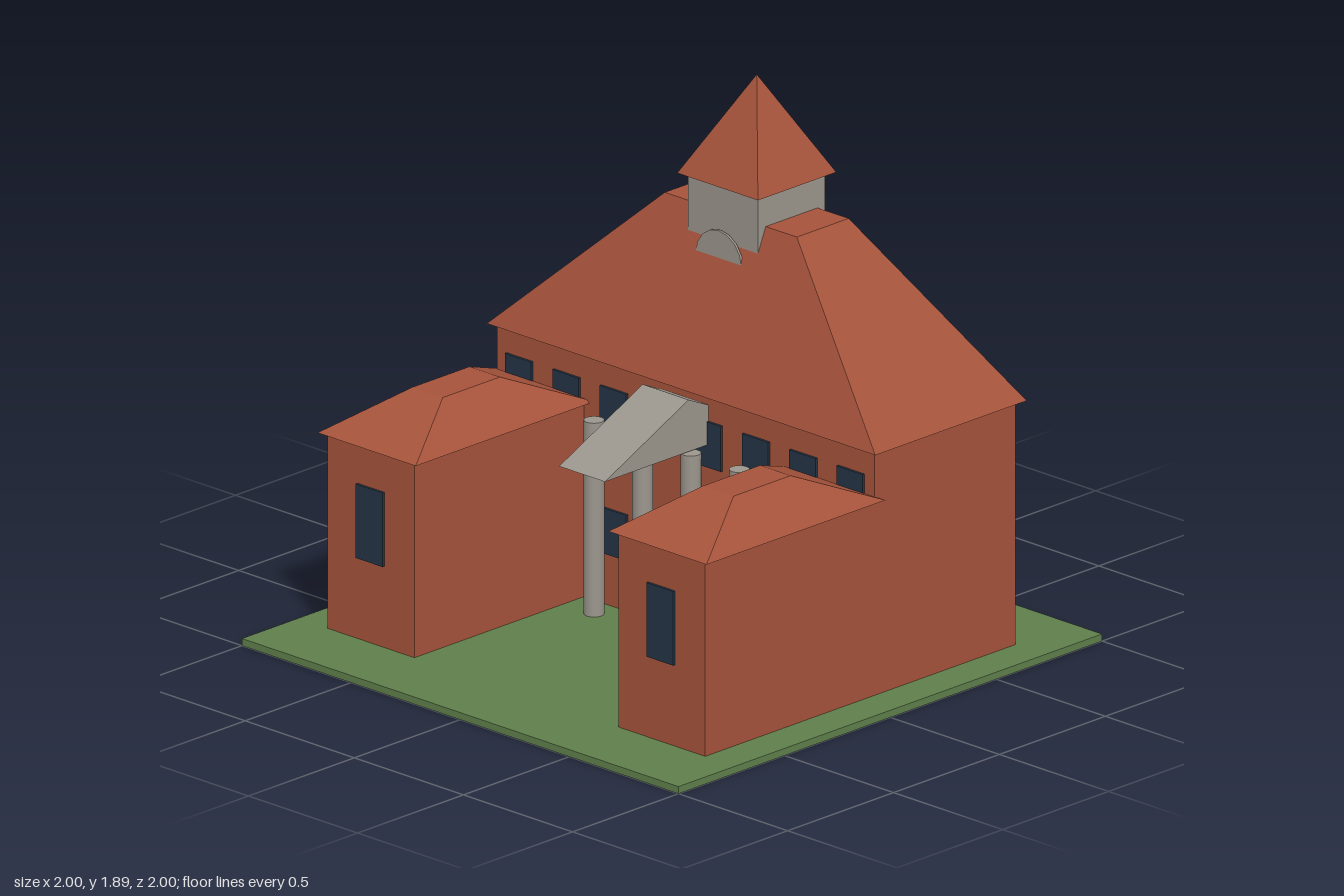
import * as THREE from 'three';

export function createModel() {
  const model = new THREE.Group();
  model.name = 'brickHall';

  const mat = (name, color) => {
    const m = new THREE.MeshStandardMaterial({ color });
    m.name = name;
    return m;
  };
  const brick = mat('brick red', 0xa5533b);
  const stone = mat('stone grey', 0x9b968d);
  const glass = mat('window navy', 0x243445);
  const grass = mat('lawn green', 0x5f7f4b);

  const add = (name, geometry, material, x, y, z) => {
    const mesh = new THREE.Mesh(geometry, material);
    mesh.name = name;
    mesh.position.set(x, y, z);
    model.add(mesh);
    return mesh;
  };

  // box given by its limits on each axis
  const block = (name, material, [x0, x1], [y0, y1], [z0, z1]) =>
    add(name, new THREE.BoxGeometry(x1 - x0, y1 - y0, z1 - z0), material,
      (x0 + x1) / 2, (y0 + y1) / 2, (z0 + z1) / 2);

  // box whose top face is shrunk to topW x topD: hip roof, spire or gable
  const taper = (name, material, w, d, topW, topD, y0, y1, x, z) => {
    const g = new THREE.BoxGeometry(w, y1 - y0, d);
    const p = g.attributes.position;
    for (let i = 0; i < p.count; i++) {
      if (p.getY(i) > 0) {
        p.setX(i, Math.sign(p.getX(i)) * topW / 2);
        p.setZ(i, Math.sign(p.getZ(i)) * topD / 2);
      }
    }
    const flat = g.toNonIndexed();
    flat.computeVertexNormals();
    return add(name, flat, material, x, (y0 + y1) / 2, z);
  };

  const ground = 0.025;
  const front = -0.065, back = -0.73; // main wall planes

  block('lawn', grass, [-1, 1], [0, ground], [-1, 1]);

  // main building
  block('mainWalls', brick, [-0.865, 0.865], [ground, 0.88], [back, front]);
  taper('mainRoof', brick, 1.78, 0.715, 0.605, 0.245, 0.88, 1.43, 0, -0.4);

  // bell tower
  block('tower', stone, [-0.16, 0.16], [1.2, 1.545], [-0.557, -0.241]);
  taper('spire', brick, 0.37, 0.37, 0, 0, 1.545, 1.89, 0, -0.4);

  // round plaque in front of the tower, half sunk in the roof
  const plaque = new THREE.CylinderGeometry(0.105, 0.105, 0.009, 16, 1);
  plaque.rotateX(Math.PI / 2);
  add('roundPlaque', plaque, stone, 0, 1.285, -0.224);

  // side wings with their front windows
  for (const s of [-1, 1]) {
    const side = s > 0 ? 'left' : 'right';
    add(side + 'WingWalls', new THREE.BoxGeometry(0.398, 0.685, 0.8), brick,
      s * 0.666, ground + 0.3425, 0.335);
    taper(side + 'WingRoof', brick, 0.45, 0.845, 0.14, 0.27, 0.71, 0.833, s * 0.666, 0.333);
    add(side + 'WingWindow', new THREE.BoxGeometry(0.122, 0.26, 0.009), glass,
      s * 0.666, 0.44, 0.7395);
  }

  // two rows of windows, front and back; one lower bay is left blank
  const pane = new THREE.BoxGeometry(0.12, 0.16, 0.009);
  for (const [wall, z] of [['front', front + 0.0045], ['back', back - 0.0045]]) {
    for (let i = 0; i < 8; i++) {
      const x = (i - 3.5) * 0.217;
      add(wall + 'UpperWindow', pane, glass, x, 0.71, z);
      if (i !== 4) add(wall + 'LowerWindow', pane, glass, x, 0.285, z);
    }
  }

  // entrance: door, columns and gabled canopy
  block('door', stone, [-0.08, 0.08], [ground, 0.315], [front, front + 0.0095]);
  const column = new THREE.CylinderGeometry(0.034, 0.034, 0.68, 16);
  for (const x of [-0.333, -0.111, 0.111, 0.333]) {
    add('column', column, stone, x, ground + 0.34, 0.025);
  }
  taper('canopy', stone, 0.21, 0.79, 0.21, 0, 0.708, 0.89, 0, 0.03);

  return model;
}
